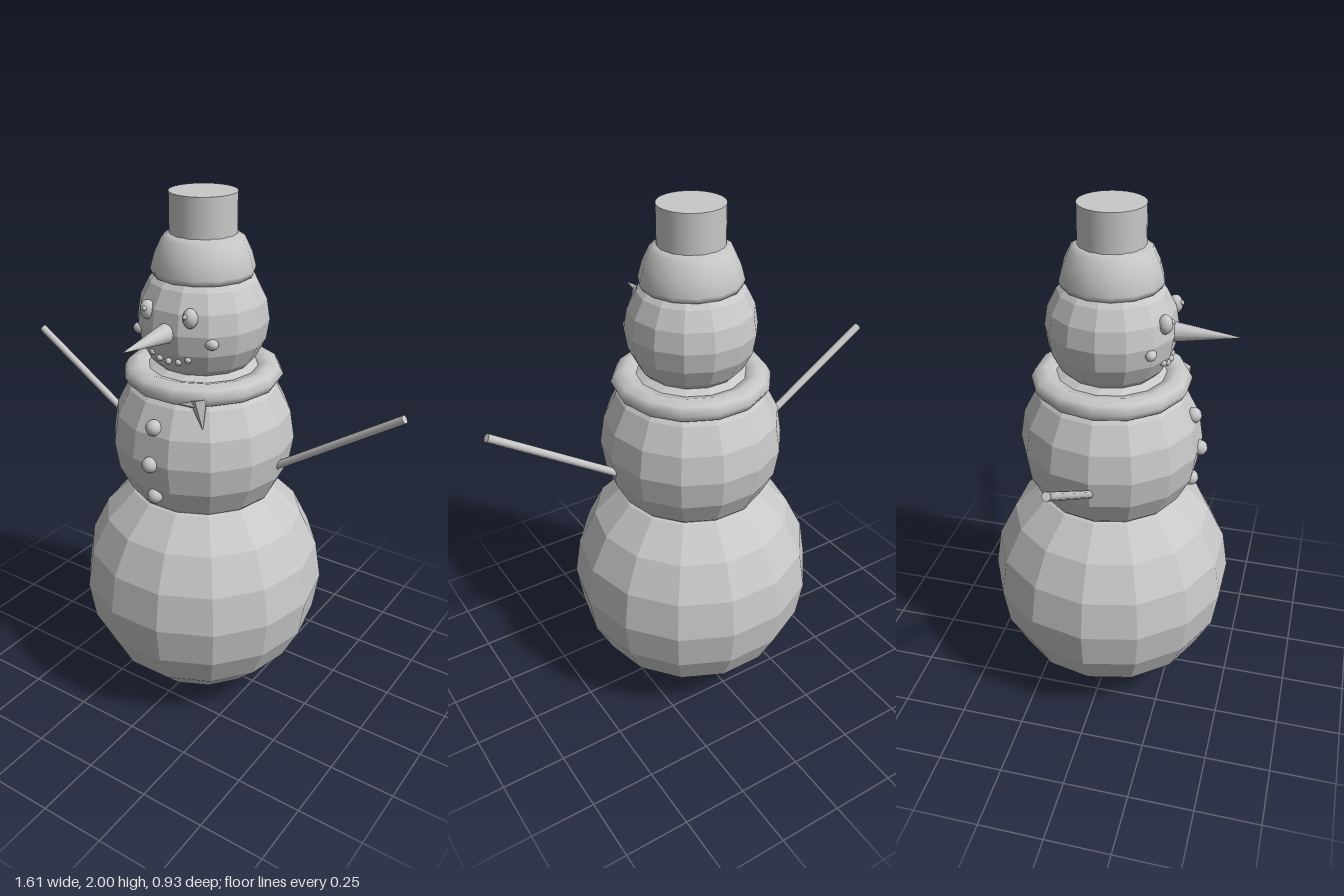
import * as THREE from 'three';

export function createModel() {
  const model = new THREE.Group();
  model.name = 'snowman';
  const faceted = new THREE.MeshStandardMaterial({ color: 0xc8c8c8 });
  faceted.name = 'clay grey';
  faceted.flatShading = true;
  const smooth = new THREE.MeshStandardMaterial({ color: 0xc8c8c8 });
  smooth.name = 'smooth clay grey';

  function add(name, geometry, material, x = 0, y = 0, z = 0) {
    const mesh = new THREE.Mesh(geometry, material);
    mesh.name = name;
    mesh.position.set(x, y, z);
    model.add(mesh);
    return mesh;
  }
  function ball(name, r, x, y, z, sy = 1, sz = 1) {
    const mesh = add(name, new THREE.SphereGeometry(r, 12, 8), smooth, x, y, z);
    mesh.scale.set(1, sy, sz);
    return mesh;
  }
  // Tapered rod from one point to another
  function rod(name, from, to, r0, r1, sides, material) {
    const a = new THREE.Vector3(...from), b = new THREE.Vector3(...to);
    const dir = b.clone().sub(a);
    const mesh = add(name, new THREE.CylinderGeometry(r1, r0, dir.length(), sides), material);
    mesh.position.copy(a).add(b).multiplyScalar(0.5);
    mesh.quaternion.setFromUnitVectors(new THREE.Vector3(0, 1, 0), dir.normalize());
    return mesh;
  }

  // Three snowballs
  for (const [name, r, y, sy] of [
    ['lowerBody', 0.475, 0.485, 0.485 / 0.475],
    ['upperBody', 0.345, 1.097, 1],
    ['head', 0.24, 1.555, 1],
  ]) {
    add(name, new THREE.SphereGeometry(r, 14, 10), faceted, 0, y, 0).scale.y = sy;
  }

  // Scarf ring with its hanging end
  const scarf = add('scarf', new THREE.TorusGeometry(0.242, 0.054, 8, 14).rotateX(Math.PI / 2), smooth, 0, 1.35, 0);
  scarf.scale.y = 0.74;
  rod('scarfEnd', [0.142, 1.345, 0.235], [0.168, 1.245, 0.25], 0.034, 0.002, 5, faceted);
  rod('scarfFold', [0.14, 1.33, 0.243], [0.05, 1.325, 0.268], 0.018, 0.002, 5, faceted);

  // Hat: rounded brim and straight crown
  const brim = [[0.165, 1.715], [0.18, 1.715], [0.187, 1.735], [0.172, 1.79], [0.146, 1.845], [0.118, 1.862], [0, 1.862]]
    .map(([x, y]) => new THREE.Vector2(x, y));
  add('hatBrim', new THREE.LatheGeometry(brim, 14), smooth);
  add('hatCrown', new THREE.CylinderGeometry(0.12, 0.12, 0.15, 32), smooth, 0, 1.925, 0);

  // Face
  rod('nose', [0, 1.555, 0.2], [0, 1.558, 0.463], 0.04, 0.001, 12, smooth);
  for (const s of [-1, 1]) {
    const side = s > 0 ? 'left' : 'right';
    ball(side + 'Eye', 0.027, s * 0.09, 1.62, 0.21, 1.3);
    ball(side + 'Pupil', 0.009, s * 0.085, 1.63, 0.234);
    ball(side + 'Cheek', 0.027, s * 0.153, 1.53, 0.175, 0.75, 0.75);
  }
  for (const [x, y, z] of [[-0.075, 1.466, 0.204], [-0.04, 1.453, 0.212], [0, 1.45, 0.216], [0.04, 1.453, 0.212], [0.075, 1.466, 0.204]]) {
    ball('mouthDot', 0.012, x, y, z);
  }

  // Buttons
  for (const [y, z] of [[1.23, 0.31], [1.095, 0.338], [0.958, 0.31]]) ball('button', 0.03, 0, y, z);

  // Stick arms
  for (const s of [-1, 1]) {
    rod(s > 0 ? 'leftArm' : 'rightArm', [s * 0.29, 1.02, 0], [s * 0.798, 1.352, 0], 0.015, 0.015, 10, smooth);
  }
  return model;
}
